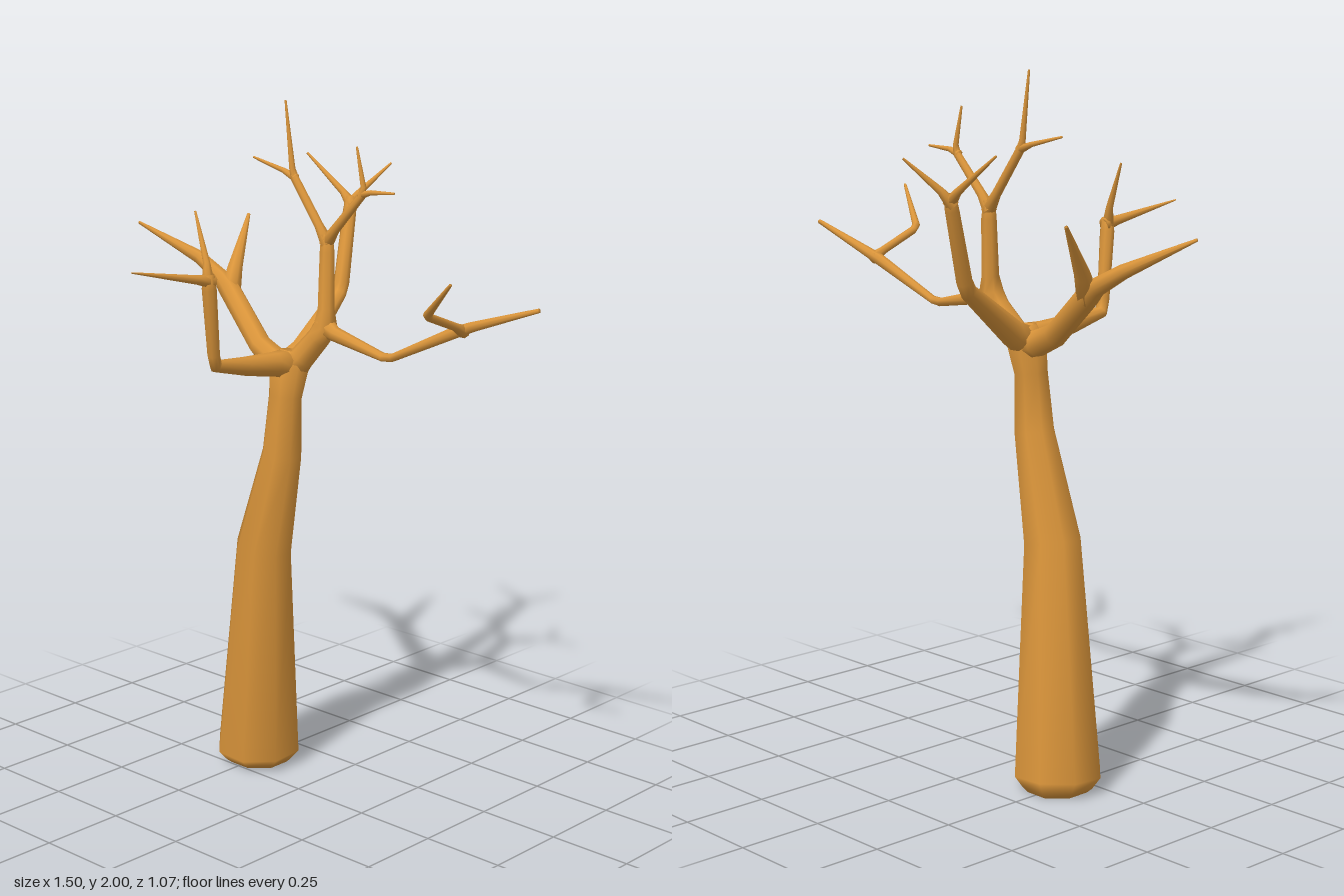
import * as THREE from 'three';

const SIDES = 8;
const bark = new THREE.MeshStandardMaterial({ color: 0xd9943a });

// Sweeps an eight-sided ring along stations [x, y, z, radius], capping both ends.
function limb(name, stations) {
  const pts = stations.map(([x, y, z]) => new THREE.Vector3(x, y, z));
  const last = pts.length - 1;
  const dir = (i) => pts[i + 1].clone().sub(pts[i]).normalize();
  const positions = [];
  const index = [];
  const turn = new THREE.Quaternion();
  let tangent = dir(0);
  const side = new THREE.Vector3(1, 0, 0);
  if (Math.abs(tangent.x) > 0.8) side.set(0, 0, 1);
  side.addScaledVector(tangent, -side.dot(tangent)).normalize();

  pts.forEach((p, i) => {
    const next = i === 0 ? dir(0) : i === last ? dir(last - 1) : dir(i - 1).add(dir(i)).normalize();
    side.applyQuaternion(turn.setFromUnitVectors(tangent, next));
    tangent = next;
    const up = tangent.clone().cross(side);
    for (let k = 0; k < SIDES; k++) {
      const a = ((k + 0.5) / SIDES) * Math.PI * 2;
      const v = p.clone()
        .addScaledVector(side, Math.cos(a) * stations[i][3] * 1.06)
        .addScaledVector(up, Math.sin(a) * stations[i][3] * 1.06);
      positions.push(v.x, v.y, v.z);
    }
  });
  for (let i = 0; i < last; i++) {
    for (let k = 0; k < SIDES; k++) {
      const a = i * SIDES + k, b = i * SIDES + ((k + 1) % SIDES);
      index.push(a, b, b + SIDES, a, b + SIDES, a + SIDES);
    }
  }
  // end caps
  const c0 = positions.length / 3;
  positions.push(...pts[0].toArray(), ...pts[last].toArray());
  for (let k = 0; k < SIDES; k++) {
    const n = (k + 1) % SIDES;
    index.push(c0, n, k, c0 + 1, last * SIDES + k, last * SIDES + n);
  }
  const geo = new THREE.BufferGeometry();
  geo.setAttribute('position', new THREE.Float32BufferAttribute(positions, 3));
  geo.setIndex(index);
  geo.computeVertexNormals();
  const mesh = new THREE.Mesh(geo, bark);
  mesh.name = name;
  return mesh;
}

function branch(name, limbs) {
  const group = new THREE.Group();
  group.name = name;
  for (const [part, stations] of Object.entries(limbs)) group.add(limb(part, stations));
  return group;
}

export function createModel() {
  const tree = new THREE.Group();
  tree.name = 'bareTree';

  // leaning trunk with a bevelled foot
  tree.add(limb('trunk', [
    [-0.25, 0, -0.09, 0.085], [-0.25, 0.015, -0.09, 0.1], [-0.25, 0.045, -0.088, 0.122],
    [-0.19, 0.7, -0.053, 0.08], [-0.109, 1.0, -0.046, 0.056], [-0.101, 1.17, -0.052, 0.047],
    [-0.1, 1.25, -0.065, 0.056], [-0.098, 1.3, -0.072, 0.032],
  ]));

  tree.add(branch('frontBranch', {
    bough: [
      [-0.1, 1.26, -0.07, 0.045], [-0.098, 1.27, 0, 0.034], [-0.092, 1.285, 0.12, 0.026],
      [-0.09, 1.305, 0.235, 0.018], [-0.084, 1.34, 0.25, 0.017],
      [-0.067, 1.53, 0.281, 0.02], [-0.066, 1.57, 0.284, 0.016],
    ],
    forwardTwig: [[-0.066, 1.55, 0.27, 0.02], [-0.07, 1.56, 0.32, 0.013], [-0.097, 1.605, 0.535, 0.002]],
    upperTwig: [[-0.066, 1.54, 0.284, 0.018], [-0.08, 1.6, 0.277, 0.01], [-0.15, 1.73, 0.25, 0.003]],
  }));

  tree.add(branch('rightBranch', {
    bough: [
      [-0.1, 1.25, -0.07, 0.045], [-0.15, 1.255, -0.075, 0.036], [-0.235, 1.29, -0.088, 0.032],
      [-0.42, 1.425, -0.145, 0.031], [-0.46, 1.45, -0.155, 0.024],
      [-0.56, 1.5, -0.16, 0.019], [-0.75, 1.592, -0.092, 0.004],
    ],
    upperTwig: [[-0.41, 1.415, -0.14, 0.03], [-0.44, 1.48, -0.19, 0.022], [-0.495, 1.62, -0.305, 0.005]],
  }));

  tree.add(branch('backBranch', {
    bough: [
      [-0.1, 1.25, -0.06, 0.045], [-0.11, 1.285, -0.13, 0.036], [-0.148, 1.42, -0.325, 0.023],
      [-0.153, 1.45, -0.345, 0.022], [-0.195, 1.65, -0.425, 0.019], [-0.2, 1.69, -0.435, 0.014],
    ],
    outerTwig: [[-0.19, 1.665, -0.43, 0.018], [-0.23, 1.7, -0.435, 0.01], [-0.385, 1.8, -0.445, 0.003]],
    backTwig: [[-0.203, 1.66, -0.427, 0.017], [-0.185, 1.7, -0.455, 0.01], [-0.13, 1.785, -0.535, 0.003]],
  }));

  // the left branch splits into an upright crown and a long side bough
  tree.add(branch('leftBranch', {
    fork: [
      [-0.1, 1.24, -0.07, 0.045], [-0.06, 1.285, -0.08, 0.035], [-0.01, 1.345, -0.092, 0.032],
      [0.015, 1.38, -0.095, 0.035], [0.012, 1.43, -0.1, 0.024],
      [0.002, 1.59, -0.114, 0.021], [0, 1.64, -0.115, 0.016],
    ],
    crownRight: [
      [0.004, 1.61, -0.115, 0.02], [-0.03, 1.66, -0.115, 0.013],
      [-0.125, 1.785, -0.116, 0.012], [-0.135, 1.81, -0.117, 0.009], [-0.162, 2.0, -0.118, 0.003],
    ],
    crownRightTwig: [[-0.12, 1.785, -0.116, 0.012], [-0.17, 1.802, -0.117, 0.007], [-0.29, 1.828, -0.12, 0.003]],
    crownLeft: [
      [-0.004, 1.61, -0.115, 0.02], [0.03, 1.655, -0.115, 0.013],
      [0.128, 1.76, -0.117, 0.011], [0.134, 1.785, -0.117, 0.008], [0.108, 1.893, -0.118, 0.003],
    ],
    crownLeftTwig: [[0.12, 1.76, -0.117, 0.011], [0.16, 1.772, -0.117, 0.007], [0.245, 1.778, -0.118, 0.003]],
    sideBough: [
      [0.005, 1.385, -0.095, 0.032], [0.055, 1.365, -0.092, 0.02], [0.24, 1.33, -0.083, 0.012],
      [0.275, 1.333, -0.082, 0.011], [0.48, 1.432, -0.107, 0.016],
      [0.53, 1.452, -0.113, 0.014], [0.745, 1.525, -0.12, 0.006],
    ],
    sideTwig: [
      [0.5, 1.435, -0.115, 0.018], [0.508, 1.455, -0.07, 0.011],
      [0.525, 1.503, 0.06, 0.011], [0.54, 1.515, 0.085, 0.011], [0.677, 1.622, 0.16, 0.004],
    ],
  }));

  return tree;
}
